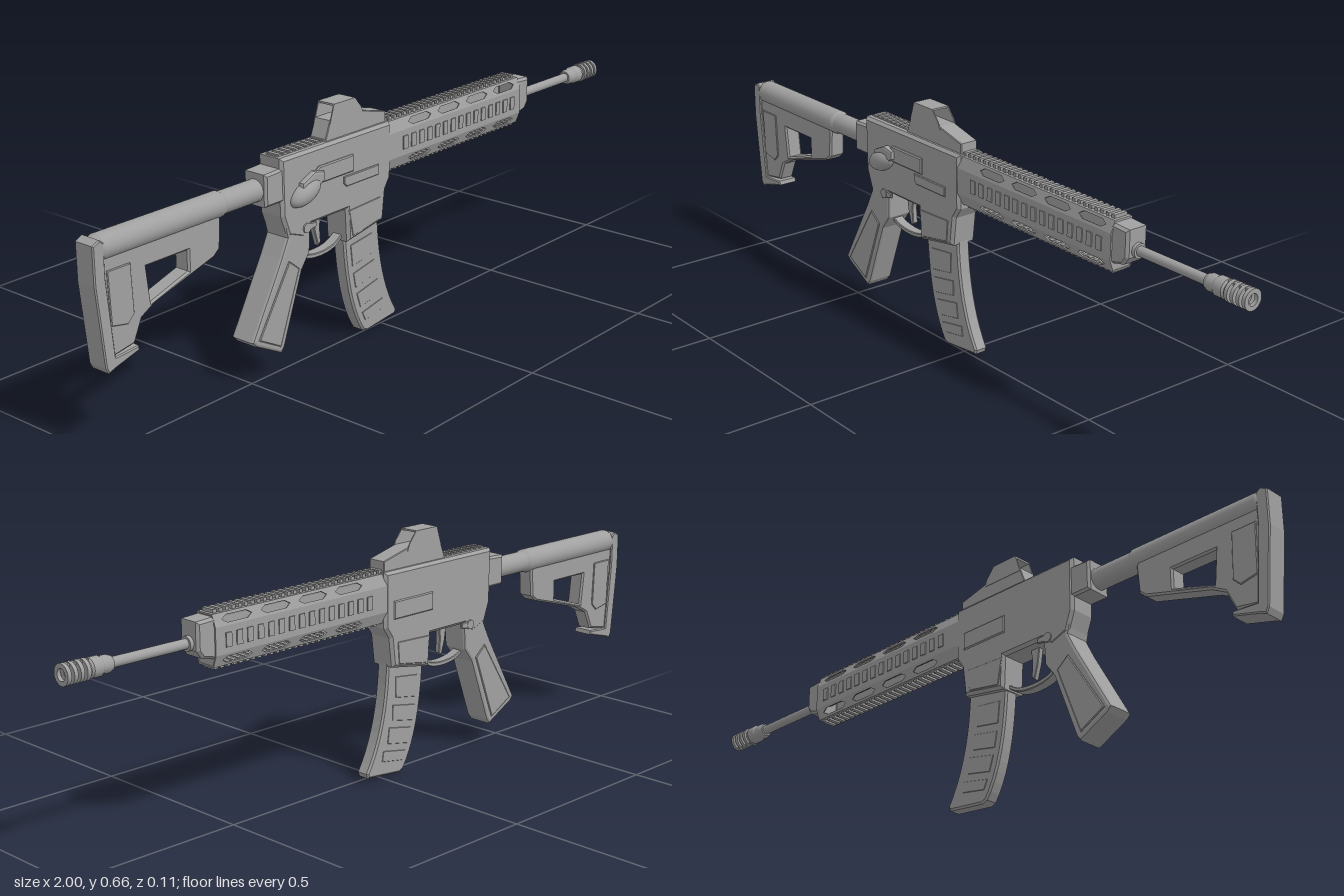
import * as THREE from 'three';

const mat = new THREE.MeshStandardMaterial({ color: 0xa0a0a0, side: THREE.DoubleSide });
const V2 = (x, y) => new THREE.Vector2(x, y);
const BORE = 0.501;

export function createModel() {
  const root = new THREE.Group();
  root.name = 'rifle';
  const add = (name, geo, parent = root) => {
    const m = new THREE.Mesh(geo, mat);
    m.name = name;
    parent.add(m);
    return m;
  };
  const group = (name) => {
    const g = new THREE.Group();
    g.name = name;
    root.add(g);
    return g;
  };
  const shapeOf = (pts) => new THREE.Shape(pts.map((p) => V2(p[0], p[1])));
  const xy = (p) => [p.x, p.y];

  // side profile extruded from z0 to z1 with chamfered edges
  const slab = (name, pts, z0, z1, bevel = 0, holes = [], parent = root, segs = 1) => {
    const s = shapeOf(pts);
    holes.forEach((h) => s.holes.push(new THREE.Path(h.map((p) => V2(p[0], p[1])))));
    const geo = new THREE.ExtrudeGeometry(s, {
      depth: z1 - z0 - 2 * bevel, bevelEnabled: bevel > 0, bevelSize: bevel,
      bevelThickness: bevel, bevelOffset: -bevel, bevelSegments: segs,
    });
    geo.translate(0, 0, z0 + bevel);
    return add(name, geo, parent);
  };
  const pair = (name, pts, zIn, zOut, bevel = 0.002, parent = root) => {
    slab(name, pts, zIn, zOut, bevel, [], parent);
    slab(name, pts, -zOut, -zIn, bevel, [], parent);
  };
  const box = (name, x0, x1, y0, y1, z0, z1, parent = root) => {
    const g = new THREE.BoxGeometry(x1 - x0, y1 - y0, z1 - z0);
    g.translate((x0 + x1) / 2, (y0 + y1) / 2, (z0 + z1) / 2);
    return add(name, g, parent);
  };
  // profile of [x, radius] turned about the barrel axis: round walls, sharp steps
  const turned = (name, prof, y, parent = root) => {
    const part = parent === root ? group(name) : parent;
    for (let i = 1; i < prof.length; i++) {
      const geo = new THREE.LatheGeometry([prof[i - 1], prof[i]].map(([x, r]) => V2(r, x)), 24);
      geo.rotateZ(-Math.PI / 2);
      geo.translate(0, y, 0);
      add(name, geo, part);
    }
  };

  // receiver
  slab('receiver', [[-0.407, 0.57], [-0.405, 0.42], [-0.385, 0.365], [-0.33, 0.345], [-0.3, 0.375],
    [-0.165, 0.375], [-0.16, 0.284], [-0.02, 0.308], [-0.01, 0.39], [0.01, 0.42], [0.01, 0.57]], -0.04, 0.04, 0.008);
  slab('receiverRear', [[-0.46, 0.458], [-0.39, 0.458], [-0.39, 0.545], [-0.46, 0.542]], -0.037, 0.037, 0.006);
  pair('magazineWellPanel', [[-0.16, 0.372], [-0.035, 0.377], [-0.04, 0.315], [-0.145, 0.297]], 0.038, 0.0415);
  box('rearRailBase', -0.4, 0.01, 0.56, 0.571, -0.02, 0.02);

  // controls
  slab('boltPanel', [[-0.3, 0.475], [-0.145, 0.475], [-0.145, 0.52], [-0.275, 0.52], [-0.3, 0.5]], 0.036, 0.046, 0.003);
  const lever = group('chargingLever');
  slab('leverArm', [[-0.35, 0.47], [-0.3, 0.465], [-0.265, 0.485], [-0.265, 0.508], [-0.3, 0.515], [-0.345, 0.495]],
    0.036, 0.056, 0.006, [], lever, 2);
  const knob = new THREE.SphereGeometry(1, 24, 16);
  knob.scale(0.055, 0.029, 0.028);
  knob.rotateZ(0.4);
  knob.translate(-0.325, 0.466, 0.04);
  add('leverKnob', knob, lever);
  slab('boltRelease', [[-0.18, 0.45], [-0.17, 0.44], [-0.045, 0.44], [-0.045, 0.468], [-0.18, 0.468]], 0.036, 0.044, 0.002);
  slab('ejectionCover', [[-0.17, 0.44], [-0.02, 0.44], [-0.02, 0.49], [-0.17, 0.49]], -0.043, -0.036, 0.003);
  const pin = new THREE.CylinderGeometry(0.013, 0.013, 0.088, 16);
  pin.rotateX(Math.PI / 2);
  pin.translate(-0.32, 0.37, 0);
  add('pin', pin);
  pair('selector', [[-0.325, 0.358], [-0.285, 0.365], [-0.285, 0.378], [-0.325, 0.382]], 0.036, 0.043);

  // trigger and guard
  slab('trigger', [[-0.262, 0.385], [-0.23, 0.385], [-0.235, 0.34], [-0.232, 0.3], [-0.242, 0.292],
    [-0.255, 0.335]], -0.008, 0.008, 0.002);
  const guard = new THREE.CatmullRomCurve3([[-0.335, 0.3], [-0.3, 0.275], [-0.245, 0.265], [-0.19, 0.272], [-0.15, 0.295]]
    .map(([x, y]) => new THREE.Vector3(x, y, 0))).getPoints(16);
  slab('triggerGuard', [...guard.map(xy), ...guard.reverse().map((p) => [p.x, p.y + 0.012])], -0.015, 0.015, 0.002);

  // pistol grip
  slab('grip', [[-0.4, 0.42], [-0.385, 0.36], [-0.41, 0.31], [-0.517, 0.12], [-0.505, 0.107], [-0.415, 0.06],
    [-0.403, 0.075], [-0.335, 0.26], [-0.305, 0.3], [-0.3, 0.4]], -0.038, 0.038, 0.008, [], root, 2);
  pair('gripPanel', [[-0.385, 0.3], [-0.498, 0.122], [-0.42, 0.08], [-0.348, 0.27]], 0.036, 0.0405, 0.003);

  // curved magazine
  const mag = group('magazine');
  const back = new THREE.QuadraticBezierCurve(V2(-0.157, 0.32), V2(-0.148, 0.1), V2(-0.08, 0.006));
  const front = new THREE.QuadraticBezierCurve(V2(-0.02, 0.33), V2(-0.015, 0.14), V2(0.058, 0.025));
  slab('magazineBody', [...back.getPoints(10).map(xy), [-0.065, 0], [0.053, 0.012],
    ...front.getPoints(10).reverse().map(xy)], -0.02, 0.02, 0.005, [], mag);
  const at = (t, u) => xy(back.getPoint(t).lerp(front.getPoint(t), u));
  [[0.14, 0.3], [0.36, 0.49], [0.55, 0.7], [0.77, 0.88]].forEach(([a, b]) =>
    pair('magazineRib', [at(a, 0.16), at(b, 0.16), at(b, 0.72), at(a, 0.78)], 0.018, 0.0215, 0.001, mag));

  // hollow eight-sided handguard, one panel per face
  const hg = group('handguard');
  const ring = [[0.039, -0.035], [0.039, 0.035], [0.027, 0.066], [-0.027, 0.066], [-0.039, 0.035],
    [-0.039, -0.035], [-0.027, -0.066], [0.027, -0.066]];
  ring.forEach(([z0, y0], i) => {
    const [z1, y1] = ring[(i + 1) % 8];
    const w = Math.hypot(z1 - z0, y1 - y0);
    const s = shapeOf([[0, -w / 2], [0.585, -w / 2], [0.585, w / 2], [0, w / 2]]);
    // slots in the sloping faces only
    for (let k = 0; i % 2 && k < 4; k++) {
      const x = 0.09 + k * 0.125, h = w * 0.28;
      s.holes.push(new THREE.Path([V2(x, 0), V2(x + 0.015, -h), V2(x + 0.08, -h), V2(x + 0.095, 0),
        V2(x + 0.08, h), V2(x + 0.015, h)]));
    }
    const geo = new THREE.ExtrudeGeometry(s, { depth: 0.004, bevelEnabled: false });
    geo.translate(0, 0, -0.004);
    geo.rotateX(Math.atan2(z1 - z0, y1 - y0));
    geo.translate(0, 0.5 + (y0 + y1) / 2, (z0 + z1) / 2);
    add('handguardPanel', geo, hg);
  });
  turned('innerBarrel', [[0, 0.016], [0.6, 0.016]], BORE, hg);
  slab('handguardCap', [[0.575, 0.455], [0.62, 0.465], [0.635, 0.485], [0.635, 0.557], [0.575, 0.56]],
    -0.033, 0.033, 0.007, [], hg);
  const endWall = new THREE.ShapeGeometry(shapeOf(ring));
  endWall.rotateY(Math.PI / 2);
  endWall.translate(0.583, 0.5, 0);
  add('handguardEnd', endWall, hg);

  // rail teeth on the top, bottom and sides
  const rails = group('rails');
  for (let x = -0.395; x < 0.57; x += 0.02) {
    box('topTooth', x, x + 0.011, 0.56, 0.575, -0.02, 0.02, rails);
    if (x > 0.01) box('bottomTooth', x, x + 0.011, 0.427, 0.44, -0.02, 0.02, rails);
  }
  for (let x = 0.06; x < 0.54; x += 0.034) {
    [-1, 1].forEach((s) => box('sideTooth', x, x + 0.018, 0.482, 0.518, s * 0.039 - 0.003, s * 0.039 + 0.003, rails));
  }

  // barrel and muzzle device
  turned('barrel', [[0.6, 0.019], [0.645, 0.019], [0.645, 0.013], [0.9, 0.013]], BORE);
  const muzzle = group('muzzle');
  turned('muzzleCollar', [[0.865, 0.013], [0.865, 0.018], [0.875, 0.022], [0.895, 0.022], [0.9, 0.025],
    [0.925, 0.025], [0.93, 0.021], [0.935, 0.021], [0.935, 0]], BORE, muzzle);
  for (let i = 0; i < 4; i++) {
    const x = 0.936 + i * 0.018;
    turned('muzzleRing', [[x, 0.015], [x, 0.027], [x + 0.01, 0.027], [x + 0.01, 0.015], [x, 0.015]], BORE, muzzle);
  }
  [-1, 1].forEach((s) => box('muzzleBridge', 0.93, 0.995, BORE + s * 0.021 - 0.004, BORE + s * 0.021 + 0.004,
    -0.008, 0.008, muzzle));

  // optic: solid base with an open hood
  const optic = group('optic');
  slab('opticBase', [[-0.232, 0.568], [0.003, 0.568], [0.003, 0.597], [-0.09, 0.62], [-0.212, 0.62]],
    -0.026, 0.026, 0.002, [], optic);
  const hood = [[-0.214, 0.61], [-0.085, 0.61], [-0.093, 0.63], [-0.118, 0.66], [-0.198, 0.66]];
  [-0.027, 0.024].forEach((z) => slab('hoodSide', hood, z, z + 0.003, 0, [], optic));
  box('hoodTop', -0.198, -0.118, 0.655, 0.66, -0.027, 0.027, optic);

  // stock
  turned('bufferTube', [[-0.6, 0.029], [-0.45, 0.029]], 0.497);
  turned('stockTube', [[-0.985, 0], [-0.985, 0.024], [-0.965, 0.033], [-0.59, 0.033], [-0.58, 0.029]], 0.497);
  slab('stockBody', [[-0.985, 0.5], [-0.975, 0.23], [-0.885, 0.245], [-0.86, 0.3], [-0.82, 0.322], [-0.625, 0.378],
    [-0.605, 0.395], [-0.6, 0.47], [-0.62, 0.5]], -0.024, 0.024, 0.005,
    [[[-0.84, 0.42], [-0.71, 0.42], [-0.71, 0.368], [-0.83, 0.33]]]);
  slab('buttPad', [[-1, 0.515], [-0.98, 0.525], [-0.967, 0.515], [-0.967, 0.43], [-0.95, 0.235], [-0.88, 0.24],
    [-0.877, 0.228], [-0.955, 0.207], [-0.972, 0.2], [-0.98, 0.215], [-1, 0.42]], -0.03, 0.03, 0.003);
  pair('stockPanel', [[-0.96, 0.445], [-0.89, 0.445], [-0.885, 0.32], [-0.905, 0.3], [-0.955, 0.31]], 0.022, 0.027);

  root.children.forEach((c) => { c.position.z = -0.0125; });
  return root;
}
